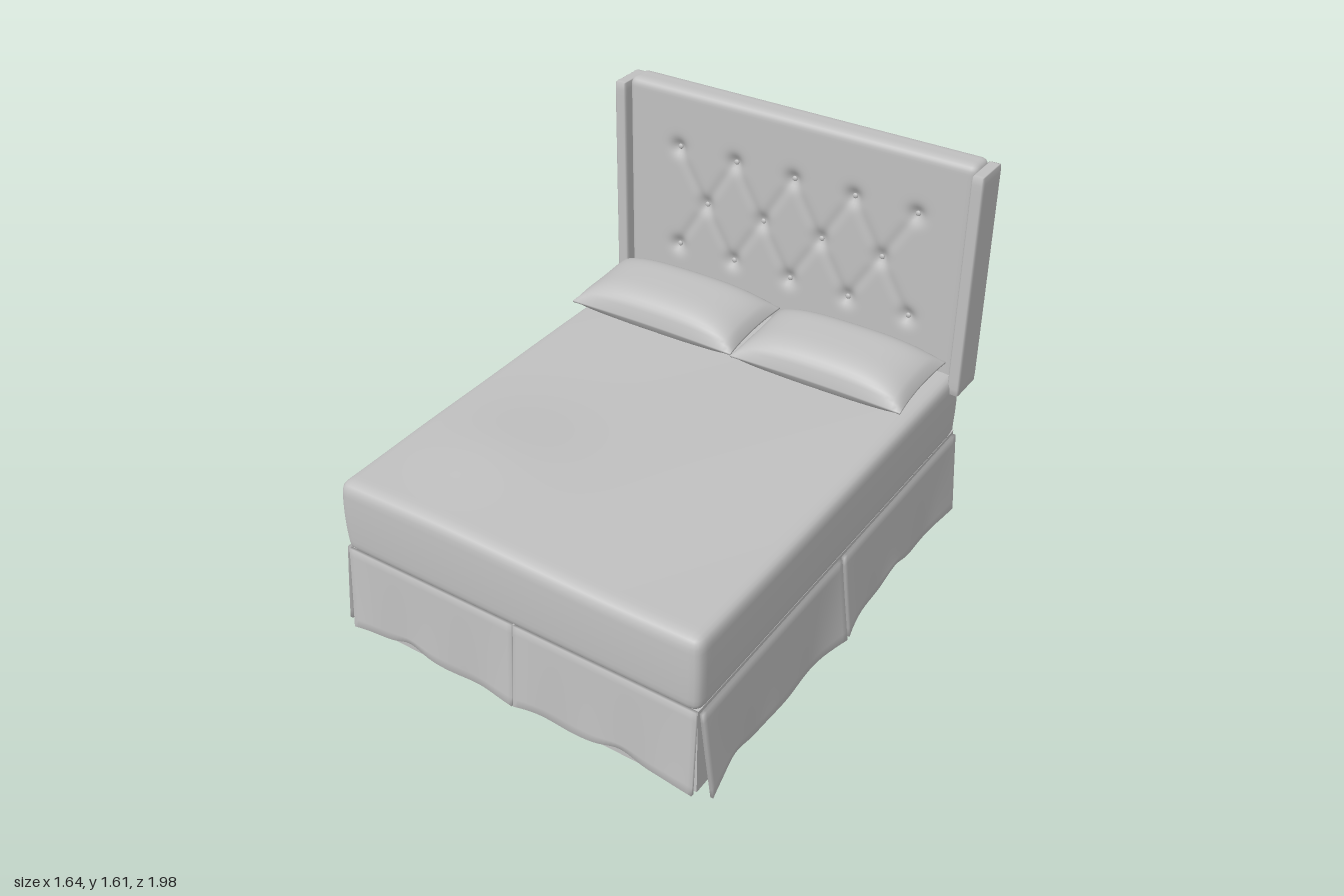
import * as THREE from 'three';
import { mergeVertices } from 'three/addons/utils/BufferGeometryUtils.js';

const fabric = new THREE.MeshStandardMaterial({ color: 0xc0c0c0 });
fabric.name = 'grey fabric';

const clamp = THREE.MathUtils.clamp;
const bump = (dx, dy, s) => Math.exp(-(dx * dx + dy * dy) / (s * s));

// Move every vertex by a rule, optionally weld seams for smooth shading
function reshape(geometry, rule, smooth = true) {
  if (smooth) {
    geometry.deleteAttribute('normal');
    geometry.deleteAttribute('uv');
    geometry = mergeVertices(geometry, 1e-5);
  }
  const pos = geometry.attributes.position;
  const p = new THREE.Vector3();
  for (let i = 0; i < pos.count; i++) {
    rule(p.fromBufferAttribute(pos, i));
    pos.setXYZ(i, p.x, p.y, p.z);
  }
  geometry.computeVertexNormals();
  return geometry;
}

// Box with rounded edges and a fine grid, followed by an extra rule
function softBox(w, h, d, r, segs, rule = () => {}) {
  const inner = new THREE.Vector3();
  return reshape(new THREE.BoxGeometry(w, h, d, ...segs), (p) => {
    inner.set(
      clamp(p.x, r - w / 2, w / 2 - r),
      clamp(p.y, r - h / 2, h / 2 - r),
      clamp(p.z, r - d / 2, d / 2 - r));
    const reach = Math.max(Math.abs(p.x - inner.x), Math.abs(p.y - inner.y), Math.abs(p.z - inner.z));
    p.sub(inner);
    if (reach > 0) p.setLength(reach);
    p.add(inner);
    rule(p);
  });
}

function add(group, name, geometry, x, y, z) {
  const mesh = new THREE.Mesh(geometry, fabric);
  mesh.name = name;
  mesh.position.set(x, y, z);
  group.add(mesh);
  return mesh;
}

// Button positions: rows of five, four and five
const buttons = [];
[[1.355, 5], [1.13, 4], [0.91, 5]].forEach(([y, n]) => {
  for (let i = 0; i < n; i++) buttons.push([0.01 + (i - (n - 1) / 2) * 0.267, y]);
});

// Pleats join each button to its diagonal neighbours
const pleats = [];
buttons.forEach((a) => buttons.forEach((b) => {
  if (a[1] > b[1] && Math.abs(a[0] - b[0]) < 0.15 && a[1] - b[1] < 0.25) pleats.push([a, b]);
}));

function tuftDepth(x, y) {
  let depth = 0;
  for (const [bx, by] of buttons) depth += 0.022 * bump(x - bx, y - by, 0.035);
  let crease = 0;
  for (const [a, b] of pleats) {
    const ex = b[0] - a[0], ey = b[1] - a[1];
    const t = clamp(((x - a[0]) * ex + (y - a[1]) * ey) / (ex * ex + ey * ey), 0, 1);
    crease = Math.max(crease, bump(x - a[0] - t * ex, y - a[1] - t * ey, 0.022));
  }
  return depth + 0.006 * crease;
}

function buildHeadboard() {
  const g = new THREE.Group();
  g.name = 'headboard';
  const cy = 1.137;
  add(g, 'tuftedPanel', softBox(1.53, 0.94, 0.12, 0.03, [130, 80, 8], (p) => {
    if (p.z > 0.04) p.z -= tuftDepth(p.x, p.y + cy);
  }), 0, cy, -0.927);
  for (const [x, y] of buttons) {
    add(g, 'button', new THREE.SphereGeometry(0.011, 12, 8).scale(1, 1, 0.6), x, y, -0.886);
  }
  for (const s of [-1, 1]) {
    add(g, s > 0 ? 'leftWing' : 'rightWing', softBox(0.05, 0.94, 0.16, 0.008, [8, 30, 16]), s * 0.784, 1.12, -0.91);
    add(g, s > 0 ? 'leftLeg' : 'rightLeg', new THREE.BoxGeometry(0.145, 1.1, 0.03), s * 0.665, 0.55, -0.982);
  }
  return g;
}

// Plump pillow: closed lens with pinched corners
function pillowGeometry(w, h, d) {
  return reshape(new THREE.BoxGeometry(2, 2, 2, 40, 2, 28), (p) => {
    const u = p.x, v = p.z;
    const puff = Math.pow(Math.max(0, (1 - u ** 4) * (1 - v ** 4)), 0.6);
    const side = p.y;
    p.x = u * (w / 2) * (1 - 0.035 * (1 - v * v) * u * u);
    p.z = v * (d / 2) * (1 - 0.05 * (1 - u * u) * v * v);
    p.y = side * (0.004 + (side > 0 ? h * 0.62 : h * 0.38) * puff * (1 - 0.2 * u * u));
  });
}

// Hanging valance panel facing +z, kicked out towards its lower corners
function skirtPanel(length, flareStart, flareEnd, lift) {
  const H = 0.36;
  return reshape(new THREE.BoxGeometry(length, H, 0.012, 40, 10, 1), (p) => {
    const u = p.x / length + 0.5;
    const t = 0.5 - p.y / H;
    const flare = flareStart * Math.exp(-u * 9) + flareEnd * Math.exp(-(1 - u) * 9);
    p.z += t * (0.012 + flare) + 0.005 * t * t * Math.sin(u * 14 + lift * 3);
    p.y += t ** 6 * (0.035 * bump(u - lift, 0, 0.1) + 0.005 * Math.sin(u * 17));
  });
}

function buildSkirt() {
  const g = new THREE.Group();
  g.name = 'bedSkirt';
  const y = 0.216;
  add(g, 'frontPanelRight', skirtPanel(0.755, 0.012, 0.012, 0.35), -0.385, y, 0.952);
  add(g, 'frontPanelLeft', skirtPanel(0.755, 0.012, 0.012, 0.6), 0.377, y, 0.952);
  for (const s of [-1, 1]) {
    const label = s > 0 ? 'Left' : 'Right';
    // Local x runs backwards on the left side and forwards on the right
    const panel = (f, r, lift) => s > 0 ? skirtPanel(0.94, f, r, lift) : skirtPanel(0.94, r, f, 1 - lift);
    add(g, 'sideFront' + label, panel(0.032, 0.03, 0.2), s * 0.77, y, 0.482).rotation.y = s * Math.PI / 2;
    add(g, 'sideRear' + label, panel(0.03, 0.012, 0.45), s * 0.77, y, -0.472).rotation.y = s * Math.PI / 2;
  }
  return g;
}

export function createModel() {
  const bed = new THREE.Group();
  bed.name = 'bed';

  // Base and mattress
  add(bed, 'base', new THREE.BoxGeometry(1.51, 0.372, 1.915), 0, 0.209, -0.008);
  add(bed, 'mattress', softBox(1.53, 0.315, 1.9, 0.04, [70, 16, 80], (p) => {
    const bulge = 1 - (p.y / 0.16) ** 2;
    p.x += Math.sign(p.x) * 0.007 * bulge * (Math.abs(p.x) > 0.7 ? 1 : 0);
    p.z += Math.sign(p.z) * 0.006 * bulge * (Math.abs(p.z) > 0.9 ? 1 : 0);
    if (p.y > 0.1) {
      p.y += 0.025 * bump(p.x + 0.42, (p.z - 0.5) * 0.9, 0.26) + 0.004 * Math.sin(p.x * 5 + p.z * 3);
    }
  }), 0.004, 0.555, 0.018);

  // Pillows, tilted a little towards the headboard
  const pillows = [['pillowRight', -0.388, 0.77], ['pillowLeft', 0.368, 0.745]];
  for (const [name, x, w] of pillows) {
    const pillow = add(bed, name, pillowGeometry(w, 0.165, 0.385), x, 0.772, -0.643);
    pillow.rotation.x = 0.06;
    pillow.rotation.z = 0.01;
  }

  bed.add(buildSkirt(), buildHeadboard());
  return bed;
}
